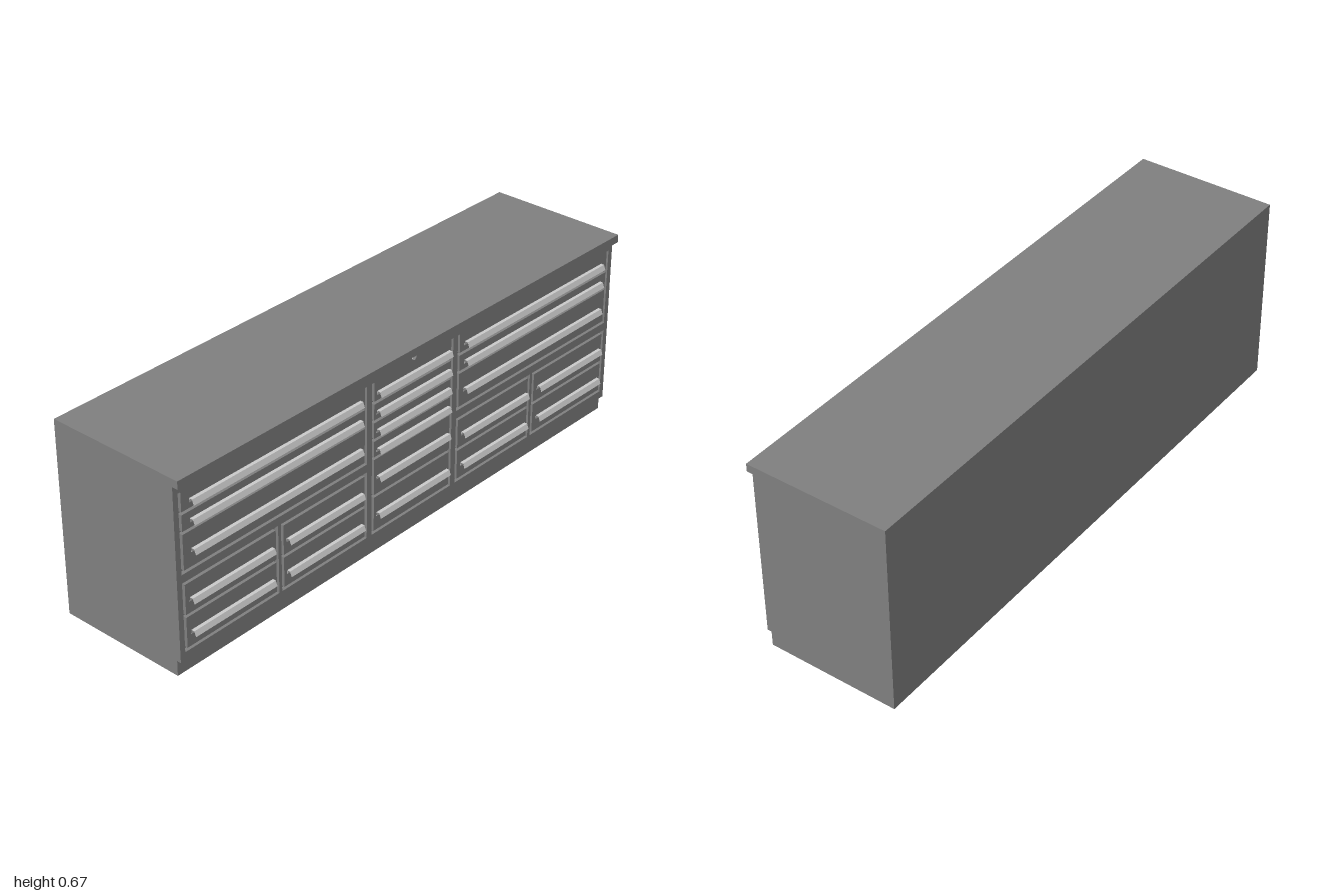
import * as THREE from 'three';

export function createModel() {
  const model = new THREE.Group();
  model.name = 'toolCabinet';
  const paint = new THREE.MeshStandardMaterial({ color: 0x808080 });
  const metal = new THREE.MeshStandardMaterial({ color: 0xcccccc });

  const add = (name, geometry, material = paint, parent = model) => {
    const mesh = new THREE.Mesh(geometry, material);
    mesh.name = name;
    parent.add(mesh);
    return mesh;
  };
  const box = (name, x0, x1, y0, y1, z0, z1, parent) => {
    const mesh = add(name, new THREE.BoxGeometry(x1 - x0, y1 - y0, z1 - z0), paint, parent);
    mesh.position.set((x0 + x1) / 2, (y0 + y1) / 2, (z0 + z1) / 2);
  };
  const rect = (Type, x0, x1, y0, y1) => new Type([
    new THREE.Vector2(x0, y0), new THREE.Vector2(x1, y0),
    new THREE.Vector2(x1, y1), new THREE.Vector2(x0, y1),
  ]);

  const BACK = -0.246, FLOOR = 0.21, FACE = 0.225, GAP = 0.01;

  // Carcass, worktop and hollow plinth
  box('carcass', -1, 1, 0.08, 0.64, BACK, FLOOR);
  box('worktop', -1, 1, 0.64, 0.667, BACK, 0.246);
  const plinth = rect(THREE.Shape, -1, 1, -FLOOR, -BACK);
  plinth.holes.push(rect(THREE.Path, -0.97, 0.97, -0.11, 0.13));
  add('plinth', new THREE.ExtrudeGeometry(plinth, { depth: 0.08, bevelEnabled: false })
    .rotateX(-Math.PI / 2));

  // Drawer bays: x range, row limits from top to bottom, handle x range and heights
  const sideBays = [
    { x: [0.209, 0.981], rows: [0.61, 0.54, 0.476, 0.343], grip: [0.241, 0.941],
      tops: [0.578, 0.513, 0.415], topGap: 0 },
    { x: [0.209, 0.583], rows: [0.315, 0.198, 0.08], grip: [0.235, 0.562],
      tops: [0.257, 0.145], topGap: GAP },
    { x: [0.595, 0.981], rows: [0.315, 0.198, 0.08], grip: [0.623, 0.955],
      tops: [0.257, 0.145], topGap: GAP },
  ];
  const mirror = ([a, b]) => [-b, -a];
  const bays = [
    ...sideBays,
    ...sideBays.map((b) => ({ ...b, x: mirror(b.x), grip: mirror(b.grip) })),
    { x: [-0.187, 0.187], rows: [0.61, 0.54, 0.476, 0.412, 0.348, 0.214, 0.08],
      grip: [-0.166, 0.166], tops: [0.578, 0.513, 0.448, 0.382, 0.285, 0.154], topGap: 0 },
  ];

  // Front frame with one opening per bay
  const frame = rect(THREE.Shape, -1, 1, 0.052, 0.64);
  for (const { x, rows } of bays) {
    frame.holes.push(rect(THREE.Path, x[0], x[1], rows[rows.length - 1], rows[0]));
  }
  add('frontFrame', new THREE.ExtrudeGeometry(frame, { depth: FACE - FLOOR, bevelEnabled: false }))
    .position.z = FLOOR;

  // Folded sheet-metal pull: hooked profile (depth, height) swept along x
  const profile = new THREE.Shape([
    [0, -0.015], [0.002, 0], [0.0135, 0], [0.02, -0.017], [0.019, -0.017],
    [0.0128, -0.001], [0.0028, -0.001], [0.001, -0.015],
  ].map(([z, y]) => new THREE.Vector2(z, y)));
  const handleGeometry = (width) =>
    new THREE.ExtrudeGeometry(profile, { depth: width, bevelEnabled: false })
      .translate(0, 0, -width / 2).rotateY(-Math.PI / 2);

  // Drawers, flush with the frame and separated by grooves
  for (const { x, rows, grip, tops, topGap } of bays) {
    tops.forEach((top, i) => {
      const drawer = new THREE.Group();
      drawer.name = 'drawer';
      model.add(drawer);
      const y1 = rows[i] - (i === 0 ? topGap : GAP / 2);
      const y0 = rows[i + 1] + (i === tops.length - 1 ? GAP : GAP / 2);
      box('drawerFront', x[0] + GAP, x[1] - GAP, y0, y1, FLOOR, FACE, drawer);
      add('drawerHandle', handleGeometry(grip[1] - grip[0]), metal, drawer)
        .position.set((grip[0] + grip[1]) / 2, top, FACE);
    });
  }

  // Lock above the centre bay
  add('lock', new THREE.CylinderGeometry(0.008, 0.008, 0.004, 24).rotateX(Math.PI / 2), metal)
    .position.set(0, 0.622, FACE + 0.002);

  return model;
}
